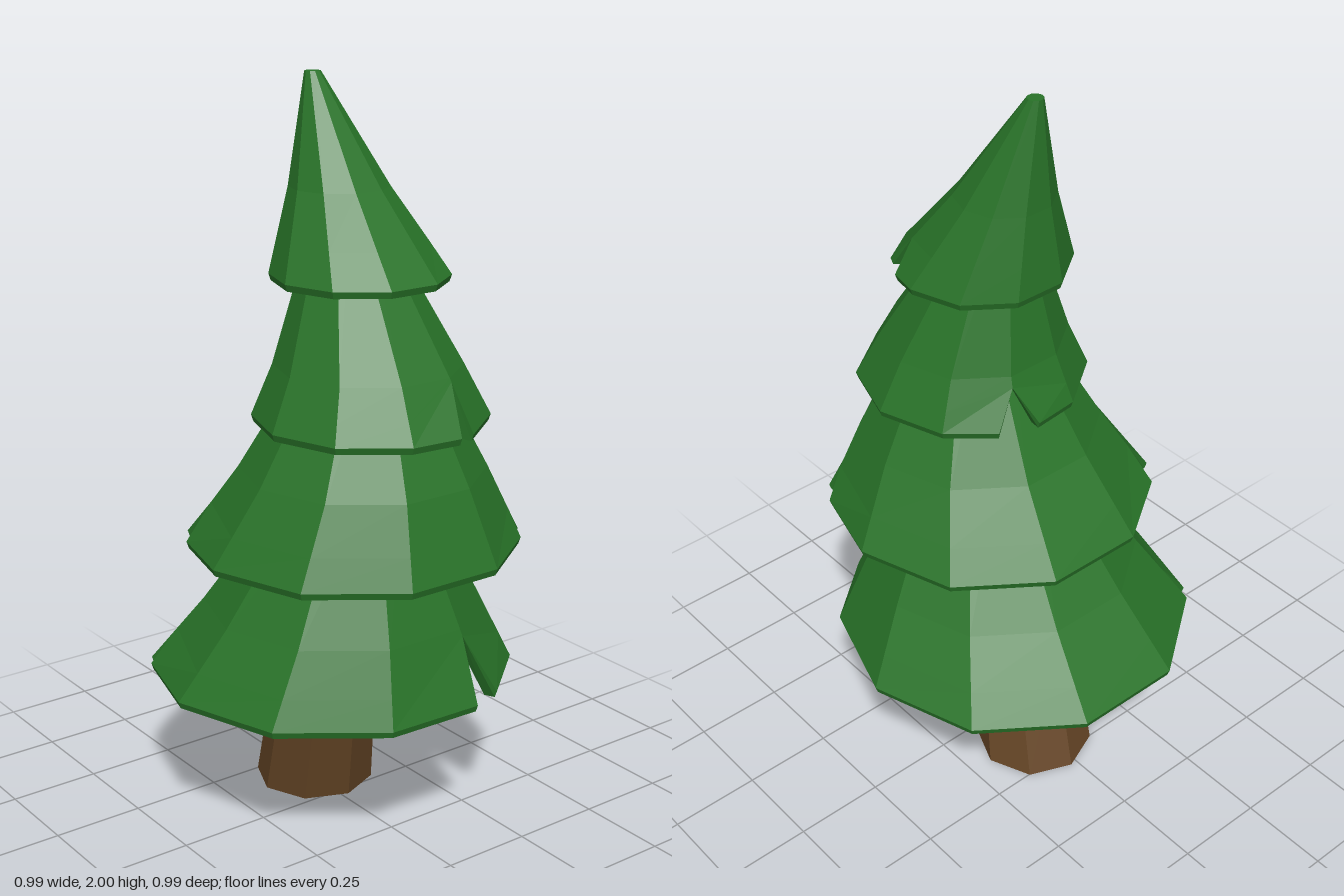
import * as THREE from 'three';

const SIDES = 10;
const THICK = 0.03;
const DEG = Math.PI / 180;

// A ring is [centre x, centre z, y, radius]
const lerpRing = (a, b, t) => a.map((v, i) => v + (b[i] - v) * t);
const inset = (r, d = THICK, drop = 0) => [r[0], r[1], r[2] - drop, Math.max(r[3] - d, 0.005)];
const onRing = ([x, z, y, r], deg) => [x + r * Math.sin(deg * DEG), y, z + r * Math.cos(deg * DEG)];

function flatGeometry(triangles) {
  const geo = new THREE.BufferGeometry();
  geo.setAttribute('position', new THREE.Float32BufferAttribute(triangles.flat(2), 3));
  geo.computeVertexNormals();
  return geo;
}

// Hollow cone of branches; a slit is [corner, notch height, degrees before, degrees after]
function tierGeometry({ rim, mid, top, slits }) {
  const tris = [];
  const quad = (a, b, c, d) => tris.push([a, b, c], [a, c, d]);

  // Closed section at one corner: down the outside, round the lip, up the inside
  const section = (deg, swing, f) => {
    const lip = [rim[0], rim[1], rim[2] + 0.008, rim[3]];
    const low = [rim[0], rim[1], rim[2] - 0.01, rim[3] - 0.006];
    const notch = lerpRing(lip, mid, f);
    return [
      onRing(top, deg), onRing(mid, deg), onRing(notch, deg),
      onRing(lip, deg + swing), onRing(low, deg + swing), onRing(inset(low), deg + swing),
      onRing(inset(notch), deg), onRing(inset(mid), deg), onRing(inset(top, THICK, 0.02), deg),
    ];
  };

  const columns = [];
  for (let k = 0; k < SIDES; k++) {
    const deg = k * 360 / SIDES;
    const slit = slits.find((s) => s[0] === k);
    if (slit) {
      const f = (slit[1] - rim[2]) / (mid[2] - rim[2]);
      columns.push({ p: section(deg, slit[2], f), gap: true });
      columns.push({ p: section(deg, slit[3], f) });
    } else {
      columns.push({ p: section(deg, 0, 0.4) });
    }
  }

  const crown = [top[0], top[2], top[1]];
  const ceiling = [top[0], top[2] - 0.02, top[1]];
  columns.forEach(({ p: c, gap }, i) => {
    const d = columns[(i + 1) % columns.length].p;
    if (gap) {
      // Cut faces on both sides of the slit
      for (let j = 3; j < 6; j++) {
        tris.push([c[2], c[j], c[j + 1]], [d[2], d[j + 1], d[j]]);
      }
      return;
    }
    for (let j = 0; j < 8; j++) quad(c[j + 1], d[j + 1], d[j], c[j]);
    tris.push([crown, c[0], d[0]], [ceiling, d[8], c[8]]);
  });
  return flatGeometry(tris);
}

// Tapering eight-sided trunk through a list of rings
function trunkGeometry(rings) {
  const tris = [];
  const first = rings[0], last = rings[rings.length - 1];
  for (let k = 0; k < 8; k++) {
    const a = k * 45, b = a + 45;
    for (let i = 0; i < rings.length - 1; i++) {
      const lo = rings[i], hi = rings[i + 1];
      tris.push([onRing(lo, a), onRing(lo, b), onRing(hi, b)]);
      tris.push([onRing(lo, a), onRing(hi, b), onRing(hi, a)]);
    }
    tris.push([[first[0], first[2], first[1]], onRing(first, b), onRing(first, a)]);
    tris.push([[last[0], last[2], last[1]], onRing(last, a), onRing(last, b)]);
  }
  return flatGeometry(tris);
}

export function createModel() {
  const tree = new THREE.Group();
  tree.name = 'leaningPine';

  const needles = new THREE.MeshStandardMaterial({ color: 0x287328 });
  needles.name = 'needleGreen';
  const bark = new THREE.MeshStandardMaterial({ color: 0x654525 });
  bark.name = 'barkBrown';

  const add = (name, geometry, material) => {
    const mesh = new THREE.Mesh(geometry, material);
    mesh.name = name;
    tree.add(mesh);
  };

  // Trunk bends with the lean of the tree
  add('trunk', trunkGeometry([
    [-0.135, -0.02, 0, 0.165],
    [-0.04, 0.015, 0.33, 0.145],
    [0.07, 0.01, 0.8, 0.11],
    [0.12, 0, 1.14, 0.08],
    [0.07, 0, 1.55, 0.05],
  ]), bark);

  // Branch tiers from the bottom up
  const tiers = {
    bottomTier: {
      rim: [-0.025, 0, 0.4, 0.495], mid: [0.025, 0, 0.6, 0.375], top: [0.1, 0, 1.0, 0.14],
      slits: [[9, 0.5, 0, 5], [3, 0.58, -4, 8]],
    },
    lowerTier: {
      rim: [0.075, 0, 0.79, 0.443], mid: [0.115, 0, 1.0, 0.325], top: [0.14, 0, 1.4, 0.1],
      slits: [[9, 0.89, -4, 7], [4, 0.87, -4, 5]],
    },
    upperTier: {
      rim: [0.148, 0, 1.14, 0.308], mid: [0.135, 0, 1.28, 0.245], top: [0.045, 0.01, 1.7, 0.06],
      slits: [[3, 1.27, -9, 0], [7, 1.25, -9, 12]],
    },
    topTier: {
      rim: [0.1, 0, 1.5, 0.232], mid: [0.025, 0.01, 1.72, 0.13], top: [-0.06, 0.03, 2, 0.021],
      slits: [[4, 1.58, -4, 16]],
    },
  };
  for (const [name, tier] of Object.entries(tiers)) add(name, tierGeometry(tier), needles);

  return tree;
}
